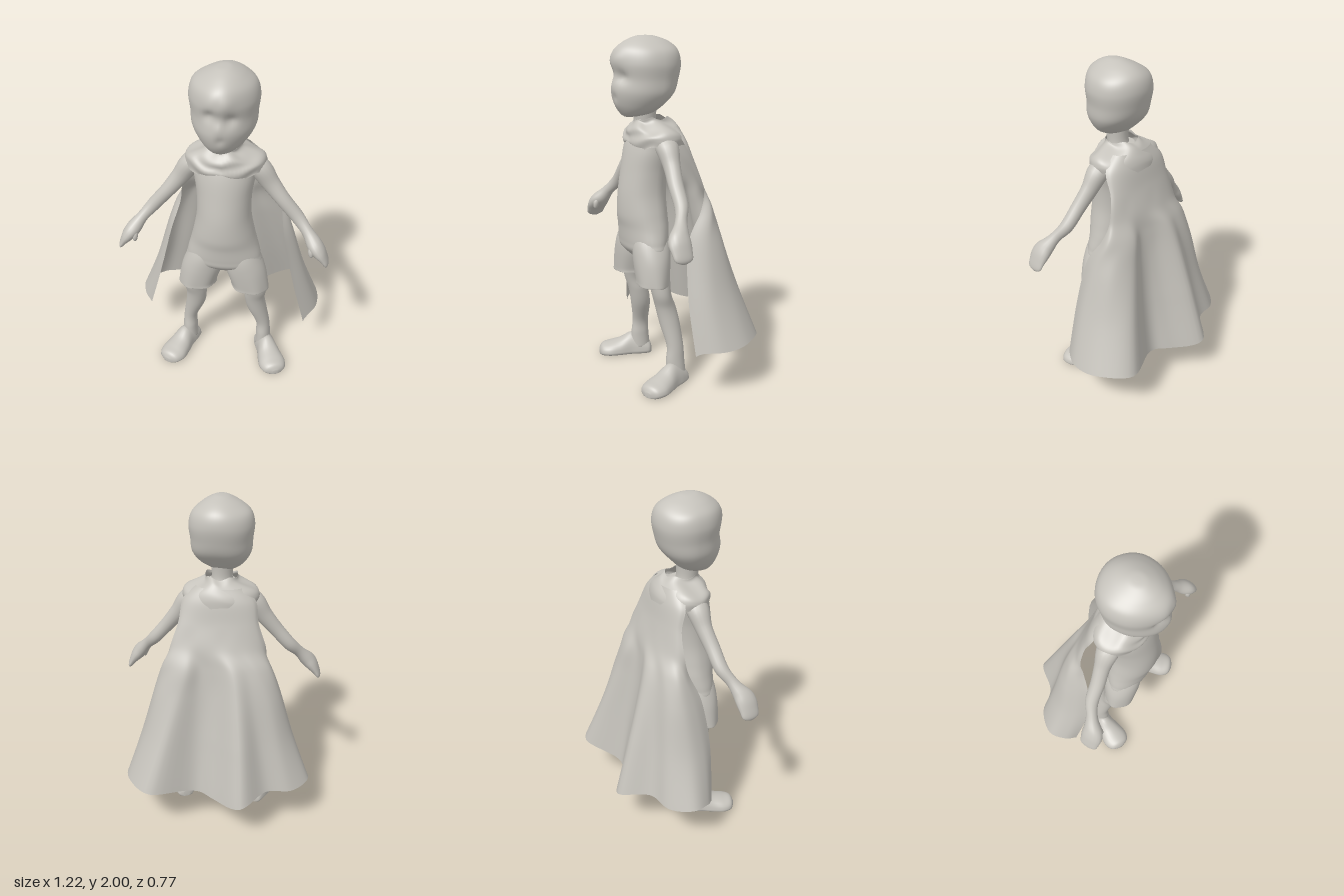
import * as THREE from 'three';

const clay = new THREE.MeshStandardMaterial({ color: 0xc6c3bc, side: THREE.DoubleSide });
clay.name = 'warm grey';

// Smooth interpolation between rows of numbers, t in 0..1
function sample(rows, t) {
  const f = t * (rows.length - 1), i = Math.min(Math.floor(f), rows.length - 2), k = f - i;
  const a = rows[Math.max(i - 1, 0)], b = rows[i], c = rows[i + 1], d = rows[Math.min(i + 2, rows.length - 1)];
  return b.map((_, n) => {
    const m0 = (c[n] - a[n]) / 2, m1 = (d[n] - b[n]) / 2, k2 = k * k, k3 = k2 * k;
    return (2 * k3 - 3 * k2 + 1) * b[n] + (k3 - 2 * k2 + k) * m0 + (3 * k2 - 2 * k3) * c[n] + (k3 - k2) * m1;
  });
}

// Surface from fn(u, v) -> [x, y, z]; closed wraps round u, caps fill both ends
function surface(name, cols, rows, fn, closed = true, caps = closed) {
  const pos = [], idx = [], n = closed ? cols : cols + 1;
  for (let j = 0; j <= rows; j++) for (let i = 0; i < n; i++) pos.push(...fn(i / cols, j / rows));
  for (let j = 0; j < rows; j++) for (let i = 0; i < cols; i++) {
    const a = j * n + i, b = j * n + (i + 1) % n, c = a + n, d = b + n;
    idx.push(a, c, b, b, c, d);
  }
  if (caps) for (const j of [0, rows]) {
    const mid = [0, 0, 0], centre = pos.length / 3;
    for (let i = 0; i < n; i++) for (let k = 0; k < 3; k++) mid[k] += pos[(j * n + i) * 3 + k] / n;
    pos.push(...mid);
    for (let i = 0; i < n; i++) {
      const a = j * n + i, b = j * n + (i + 1) % n;
      if (j) idx.push(a, centre, b); else idx.push(a, b, centre);
    }
  }
  const g = new THREE.BufferGeometry();
  g.setAttribute('position', new THREE.Float32BufferAttribute(pos, 3));
  g.setIndex(idx);
  g.computeVertexNormals();
  const m = new THREE.Mesh(g, clay);
  m.name = name;
  return m;
}

// Upright loft; rows are [y, x, z, half width, front depth, back depth]
function loft(name, rows, { cols = 36, steps = 8, warp = p => p, caps = true } = {}) {
  return surface(name, cols, (rows.length - 1) * steps, (u, v) => {
    const [y, x, z, rx, rf, rb] = sample(rows, v), a = u * Math.PI * 2, s = Math.sin(a);
    return warp([x + rx * Math.cos(a), y, z + s * (s > 0 ? rf : rb)], a, v);
  }, true, caps);
}

// Limb along a path in a mostly x-y plane; rows are [x, y, z, radius, depth]
function limb(name, rows) {
  return surface(name, 18, (rows.length - 1) * 6, (u, v) => {
    const p = sample(rows, v), q = sample(rows, Math.min(v + 0.01, 1)), o = sample(rows, Math.max(v - 0.01, 0));
    const l = Math.hypot(q[0] - o[0], q[1] - o[1]) || 1, a = u * Math.PI * 2, r = p[3] * Math.cos(a);
    return [p[0] - r * (q[1] - o[1]) / l, p[1] + r * (q[0] - o[0]) / l, p[2] + p[4] * Math.sin(a)];
  });
}

const bump = (x, y, cx, cy, r) => Math.exp(-((x - cx) ** 2 + (y - cy) ** 2) / (r * r));

// Head with a narrow face, fringe, shallow eye hollows and jutting chin
function makeHead() {
  const face = ([x, y, z]) => {
    const front = Math.max(0, (z - 0.2) / 0.17);
    const dz = 0.006 * bump(x, y, 0, 1.73, 0.03) - 0.024 * bump(x, y, 0.07, 1.775, 0.034)
      - 0.022 * bump(x, y, -0.06, 1.8, 0.034) - 0.006 * bump(x, y, 0, 1.79, 0.03)
      - 0.008 * bump(x, y, 0.01, 1.66, 0.025)
      + 0.01 * bump(x, y, 0.05, 1.87, 0.04) + 0.008 * bump(x, y, -0.06, 1.88, 0.05);
    return [x * (1 - 0.16 * Math.min(1, front) ** 2), y + 0.006 * Math.sin(x * 22 + 1), z + front * dz];
  };
  return loft('head', [
    [1.55, 0, 0.27, 0.03, 0.035, 0.05], [1.57, 0, 0.24, 0.08, 0.09, 0.1], [1.62, 0, 0.19, 0.132, 0.172, 0.11],
    [1.69, 0, 0.16, 0.172, 0.22, 0.14], [1.77, 0, 0.15, 0.18, 0.222, 0.158], [1.85, 0, 0.15, 0.188, 0.228, 0.172],
    [1.92, 0, 0.15, 0.168, 0.21, 0.155], [1.965, 0, 0.165, 0.115, 0.14, 0.118], [1.992, 0, 0.18, 0.05, 0.06, 0.055],
    [1.997, 0, 0.18, 0.01, 0.01, 0.01]], { cols: 56, warp: face });
}

// One leg: shorts leg, bare leg and outward-turned foot on the +x side
function makeLeg() {
  const leg = new THREE.Group();
  leg.add(loft('shortsLeg', [
    [0.64, 0.155, 0.215, 0.07, 0.06, 0.06], [0.605, 0.157, 0.217, 0.108, 0.09, 0.085],
    [0.63, 0.156, 0.217, 0.112, 0.094, 0.09], [0.74, 0.129, 0.21, 0.12, 0.106, 0.105],
    [0.83, 0.108, 0.2, 0.106, 0.112, 0.108], [0.92, 0.085, 0.19, 0.08, 0.1, 0.085]], {
    warp: ([x, y, z], a, v) => {
      const w = 1 + 0.045 * Math.sin(a * 6 + 1) * Math.max(0, 1 - v * 1.5);
      return [0.15 + (x - 0.15) * w, y - (x - 0.15) * 0.06 * (1 - v), 0.21 + (z - 0.21) * w];
    },
  }));
  leg.add(loft('bareLeg', [
    [0.05, 0.24, 0.11, 0.05, 0.065, 0.06], [0.14, 0.238, 0.112, 0.045, 0.06, 0.053],
    [0.23, 0.232, 0.115, 0.043, 0.05, 0.052], [0.36, 0.195, 0.13, 0.06, 0.06, 0.06],
    [0.46, 0.182, 0.155, 0.062, 0.055, 0.065], [0.55, 0.188, 0.18, 0.066, 0.055, 0.055],
    [0.68, 0.16, 0.19, 0.08, 0.07, 0.07]], { cols: 24 }));
  const rows = [[0, 0.02, 0.04], [0.015, 0.05, 0.07], [0.07, 0.06, 0.11], [0.13, 0.062, 0.132],
    [0.2, 0.076, 0.096], [0.265, 0.083, 0.076], [0.315, 0.062, 0.062], [0.335, 0.015, 0.03]];
  const foot = surface('foot', 28, 42, (u, v) => {
    const [z, w, h] = sample(rows, v), a = u * Math.PI * 2, s = Math.sin(a);
    return [-w * Math.cos(a) * (s < 0 ? 1.04 : 1), s > 0 ? 0.022 + (h - 0.022) * s : 0.022 * (1 - Math.min(1, -s * 1.6)), z];
  });
  foot.position.set(0.218, 0, 0.045);
  foot.rotation.y = 0.4;
  leg.add(foot);
  return leg;
}

// One arm with a simple mitten hand and thumb on the +x side
function makeArm() {
  const arm = new THREE.Group();
  arm.add(limb('arm', [
    [0.11, 1.43, 0.14, 0.045, 0.06], [0.19, 1.39, 0.14, 0.062, 0.066], [0.255, 1.3, 0.145, 0.052, 0.048],
    [0.33, 1.205, 0.16, 0.043, 0.043], [0.415, 1.105, 0.172, 0.039, 0.04], [0.475, 1.04, 0.21, 0.033, 0.037],
    [0.518, 0.985, 0.245, 0.043, 0.058], [0.55, 0.945, 0.255, 0.039, 0.065], [0.578, 0.905, 0.257, 0.026, 0.06],
    [0.598, 0.868, 0.257, 0.015, 0.05], [0.602, 0.85, 0.257, 0.004, 0.012]]));
  arm.add(limb('thumb', [
    [0.52, 0.99, 0.265, 0.022, 0.024], [0.51, 0.955, 0.283, 0.019, 0.02], [0.51, 0.925, 0.288, 0.012, 0.014],
    [0.512, 0.912, 0.288, 0.003, 0.003]]));
  return arm;
}

// Cape rows from shoulders to hem, each a strip of [x, z] points
function makeCape() {
  const arc = (w, left, right, mid) => Array.from({ length: 12 }, (_, i) => {
    const a = i / 5.5 - 1;
    return [w * Math.sin(a * 1.45), mid + ((a < 0 ? left : right) - mid) * a * a];
  });
  const rows = [
    [1.5, arc(0.14, 0.07, 0.07, 0.005)], [1.42, arc(0.215, 0.05, 0.05, -0.025)],
    [1.3, arc(0.235, 0.015, -0.01, -0.05)], [1.16, arc(0.28, 0.01, -0.045, -0.09)],
    [1.04, [[-0.29, 0.035], [-0.315, -0.005], [-0.31, -0.055], [-0.25, -0.1], [-0.18, -0.115], [-0.1, -0.145],
      [0, -0.115], [0.09, -0.105], [0.17, -0.135], [0.26, -0.115], [0.325, -0.07], [0.31, -0.01]]],
    [0.87, [[-0.34, 0.095], [-0.37, 0.03], [-0.375, -0.05], [-0.32, -0.12], [-0.22, -0.15], [-0.13, -0.2],
      [0, -0.14], [0.1, -0.13], [0.22, -0.175], [0.34, -0.13], [0.385, -0.02], [0.345, 0.09]]],
    [0.58, [[-0.41, 0.12], [-0.45, 0.05], [-0.46, -0.05], [-0.39, -0.15], [-0.27, -0.19], [-0.16, -0.29],
      [0, -0.2], [0.12, -0.175], [0.3, -0.255], [0.43, -0.16], [0.47, 0], [0.41, 0.125]]],
    [0.29, [[-0.5, 0.085], [-0.55, 0.03], [-0.57, -0.08], [-0.47, -0.195], [-0.32, -0.235], [-0.18, -0.385],
      [0, -0.275], [0.13, -0.225], [0.38, -0.345], [0.54, -0.2], [0.565, -0.02], [0.49, 0.12]]],
  ];
  return surface('cape', 66, 70, (u, v) => {
    const strip = rows.map(([y, pts]) => [y, ...sample(pts, u)]);
    const [y, x, z] = sample(strip, v), hem = Math.max(0, v - 0.85) / 0.15;
    const drop = 0.055 * Math.exp(-((x / 0.2) ** 2)) + 0.04 * Math.abs(2 * u - 1) ** 12;
    return [x, y - hem * (drop + 0.006 * Math.sin(u * 30)), z];
  }, false);
}

export function createModel() {
  const model = new THREE.Group();
  model.name = 'capedChild';
  model.add(makeHead());
  model.add(loft('neck', [[1.44, 0, 0.16, 0.08, 0.08, 0.08], [1.52, 0, 0.18, 0.062, 0.065, 0.062],
    [1.64, 0, 0.19, 0.07, 0.07, 0.08]], { cols: 24 }));

  // Shirt and hips of the shorts
  model.add(loft('torso', [
    [0.74, 0, 0.21, 0.1, 0.06, 0.07], [0.79, 0, 0.205, 0.214, 0.112, 0.108], [0.84, 0, 0.2, 0.216, 0.128, 0.118],
    [0.92, 0, 0.19, 0.196, 0.147, 0.12],
    [1.0, 0, 0.19, 0.177, 0.16, 0.118], [1.12, 0, 0.19, 0.156, 0.156, 0.115], [1.25, 0, 0.18, 0.157, 0.145, 0.112],
    [1.37, 0, 0.16, 0.175, 0.14, 0.112], [1.45, 0, 0.15, 0.17, 0.122, 0.11], [1.51, 0, 0.16, 0.08, 0.08, 0.08]]));

  // Gathered cloth over the shoulders, lifted at the sides of the chest
  model.add(loft('shoulderCloth', [
    [1.545, 0, 0.16, 0.095, 0.075, 0.11], [1.52, 0, 0.15, 0.11, 0.1, 0.135], [1.475, 0, 0.14, 0.205, 0.135, 0.153],
    [1.435, 0, 0.13, 0.228, 0.157, 0.158], [1.395, 0, 0.13, 0.222, 0.155, 0.163]], {
    cols: 60, caps: false,
    warp: ([x, y, z], a, v) => {
      const f = Math.max(0, Math.sin(a));
      return [x, y + 0.008 * Math.sin(a * 5 + v * 4) + v * f * 0.025 * Math.cos(x * 26), z + f * 0.006 * Math.sin(v * 14 + Math.abs(x) * 30)];
    },
  }));
  for (const s of [-1, 1]) {
    const arm = makeArm(), leg = makeLeg();
    arm.name = s > 0 ? 'leftArm' : 'rightArm';
    leg.name = s > 0 ? 'leftLeg' : 'rightLeg';
    arm.scale.x = leg.scale.x = s;
    model.add(arm, leg);
  }
  model.add(makeCape());
  return model;
}
